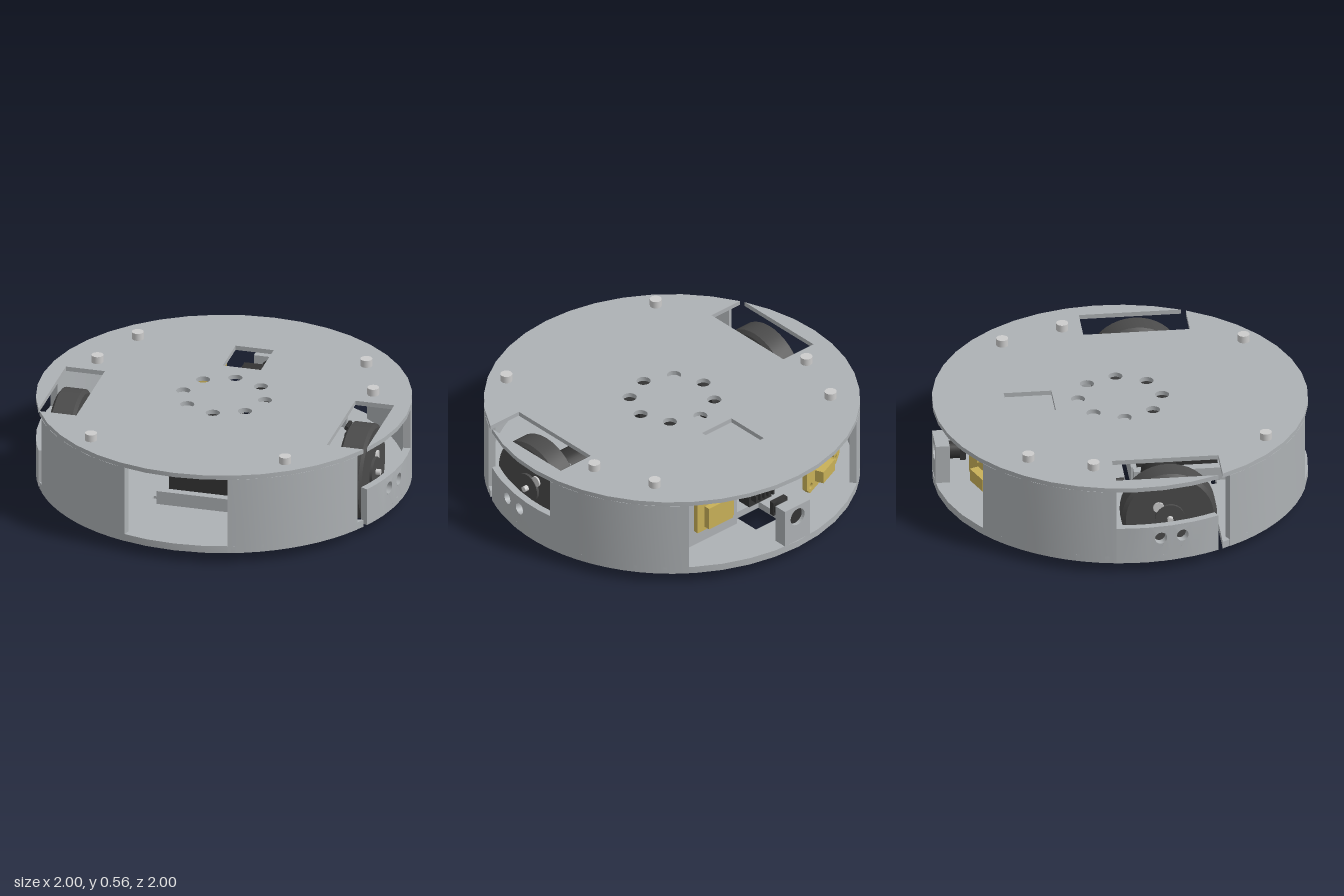
import * as THREE from 'three';
import { mergeGeometries, toCreasedNormals } from 'three/addons/utils/BufferGeometryUtils.js';

const mat = (color) => new THREE.MeshStandardMaterial({ color });
const shell = mat(0xadb1b4), light = mat(0xcccccc), rubber = mat(0x4a4a4a);
const black = mat(0x333333), gold = mat(0xc8b058);

const TOP = 0.515, BASE = 0.06;

export function createModel() {
  const root = new THREE.Group();

  const add = (name, geo, material, x = 0, y = 0, z = 0, parent = root) => {
    const m = new THREE.Mesh(geo, material);
    m.name = name;
    m.position.set(x, y, z);
    parent.add(m);
    return m;
  };
  // box given by its limits on each axis
  const box = (name, material, x0, x1, y0, y1, z0, z1, parent = root) =>
    add(name, new THREE.BoxGeometry(x1 - x0, y1 - y0, z1 - z0), material,
      (x0 + x1) / 2, (y0 + y1) / 2, (z0 + z1) / 2, parent);
  // cylinder along x, y or z
  const rod = (name, material, r, len, axis, x, y, z, parent = root, sides = 24) => {
    const g = new THREE.CylinderGeometry(r, r, len, sides);
    if (axis === 'x') g.rotateZ(Math.PI / 2);
    if (axis === 'z') g.rotateX(Math.PI / 2);
    return add(name, g, material, x, y, z, parent);
  };
  const arc = (r, a0, a1, n) => Array.from({ length: n + 1 }, (_, i) => {
    const a = a0 + (a1 - a0) * i / n;
    return new THREE.Vector2(r * Math.cos(a), r * Math.sin(a));
  });
  // extrude a plan shape (x, z) between two heights
  const slab = (shape, y0, y1) => toCreasedNormals(
    new THREE.ExtrudeGeometry(shape, { depth: y1 - y0, bevelEnabled: false, curveSegments: 10 })
      .rotateX(Math.PI / 2).translate(0, y1, 0), 0.5);
  const circleHole = (x, y, r) => new THREE.Path().absarc(x, y, r, 0, Math.PI * 2, true);
  const rectHole = (x0, x1, y0, y1) => new THREE.Path([[x0, y0], [x0, y1], [x1, y1], [x1, y0]]
    .map(([x, y]) => new THREE.Vector2(x, y)));

  // round plates, notched for the wheels
  const plateShape = () => {
    const a1 = 0.439, a2 = 0.467;
    const notch = [[0.905, -0.12], [0.69, -0.12], [0.69, 0.45]];
    return new THREE.Shape([
      ...notch.map(([x, z]) => new THREE.Vector2(x, z)),
      ...arc(1, a2, Math.PI - a2, 14),
      ...notch.slice().reverse().map(([x, z]) => new THREE.Vector2(-x, z)),
      ...arc(1, Math.PI - a1, Math.PI * 2 + a1, 26),
    ]);
  };
  const topShape = plateShape();
  for (let i = 0; i < 8; i++) {
    const a = i * Math.PI / 4;
    topShape.holes.push(circleHole(0.225 * Math.cos(a), 0.225 * Math.sin(a), 0.038));
  }
  topShape.holes.push(rectHole(-0.105, 0.105, -0.61, -0.355));
  add('topPlate', slab(topShape, 0.49, TOP), shell);

  const baseShape = plateShape();
  baseShape.holes.push(rectHole(-0.26, 0.26, 0.01, 0.04), rectHole(-0.26, 0.26, 0.46, 0.49),
    rectHole(-0.095, 0.095, -0.77, -0.58));
  add('basePlate', slab(baseShape, BASE, 0.1), shell);

  // curved side walls
  const wall = (name, a0, a1) => add(name, slab(new THREE.Shape(
    [...arc(1, a0, a1, 9), ...arc(0.96, a1, a0, 9)]), BASE, 0.49), shell);

  // low guard outside each wheel: flat columns bent round the rim, two with a hole
  const guardGeometry = (side) => {
    const cuts = [-0.13, -0.04, 0.05, 0.17, 0.29, 0.365, 0.44];
    const cols = [];
    for (let i = 0; i < cuts.length - 1; i++) {
      const [a, b] = [cuts[i], cuts[i + 1]];
      const s = new THREE.Shape([[a, BASE], [b, BASE], [b, 0.27], [a, 0.27]]
        .map(([x, y]) => new THREE.Vector2(x, y)));
      if (i === 2 || i === 3) s.holes.push(circleHole((a + b) / 2, 0.2, 0.033));
      const g = new THREE.ExtrudeGeometry(s, { depth: 0.04, bevelEnabled: false });
      const p = g.attributes.position;
      for (let k = 0; k < p.count; k++) {
        // the -x side runs the angle the other way so faces keep their order
        const t = side > 0 ? -p.getX(k) : p.getX(k), r = 0.96 + p.getZ(k);
        const u = side > 0 ? p.getX(k) : t;
        p.setXYZ(k, side * r * Math.cos(u), p.getY(k), r * Math.sin(u));
      }
      if (side > 0) { // restore outward winding
        for (let k = 0; k < p.count; k += 3) {
          const q = [p.getX(k), p.getY(k), p.getZ(k)];
          p.setXYZ(k, p.getX(k + 1), p.getY(k + 1), p.getZ(k + 1));
          p.setXYZ(k + 1, ...q);
        }
      }
      cols.push(g);
    }
    return toCreasedNormals(mergeGeometries(cols), 0.5);
  };

  for (const s of [1, -1]) {
    const side = s > 0 ? 'left' : 'right';
    const span = (a, b) => s > 0 ? [a, b] : [Math.PI - b, Math.PI - a];
    wall(side + 'FrontWall', ...span(0.513, 1.282));
    wall(side + 'RearWall', ...span(-0.927, -0.13));
    add(side + 'WheelGuard', guardGeometry(s), shell);

    // wheel with hub, axle and motor
    const w = new THREE.Group();
    w.name = side + 'Wheel';
    w.position.set(s * 0.8, 0.255, 0.17);
    root.add(w);
    const profile = [[0, -0.07], [0.235, -0.07], [0.255, -0.055], [0.255, 0.055], [0.235, 0.07], [0, 0.07]]
      .map(([r, h]) => new THREE.Vector2(r, h));
    add('tyre', toCreasedNormals(new THREE.LatheGeometry(profile, 40).rotateZ(Math.PI / 2), 0.5), rubber, 0, 0, 0, w);
    rod('hub', rubber, 0.08, 0.17, 'x', 0, 0, 0, w);
    rod('axle', light, 0.016, 0.22, 'x', 0, 0, 0, w, 16);
    rod('hubScrew', light, 0.03, 0.16, 'x', 0, 0.065, -0.06, w, 16);
    rod('motor', black, 0.1, 0.3, 'x', -s * 0.29, 0, 0, w);
    box('motorBracket', shell, s > 0 ? -0.14 : 0.11, s > 0 ? -0.11 : 0.14, -0.155, 0.1, -0.1, 0.1, w);
    for (const y of [0.085, 0.125])
      rod('motorTerminal', black, 0.012, 0.08, 'z', -s * 0.14, y, -0.26, w, 8);

    // pegs on the top plate
    for (const [x, z] of [[0.63, -0.56], [0.76, -0.225], [0.535, 0.72]])
      rod('topPeg', light, 0.032, 0.045, 'y', s * x, 0.5325, z);

    // tray rails beside the battery
    box('batteryTrayRail', shell, s > 0 ? 0.17 : -0.22, s > 0 ? 0.22 : -0.17, 0.1, 0.175, 0.05, 0.55);
  }
  box('batteryTrayFront', shell, -0.17, 0.17, 0.1, 0.175, 0.505, 0.55);
  box('batteryTrayBack', shell, -0.17, 0.17, 0.1, 0.175, 0.04, 0.07);
  box('battery', black, -0.165, 0.165, 0.13, 0.455, 0.07, 0.503);

  // rear camera post with lens
  const post = new THREE.Shape([[-0.09, 0.09], [0.09, 0.09], [0.09, 0.32], [-0.09, 0.32]]
    .map(([x, y]) => new THREE.Vector2(x, y)));
  post.holes.push(circleHole(0, 0.25, 0.05));
  add('cameraPost', new THREE.ExtrudeGeometry(post, { depth: 0.075, bevelEnabled: false }), shell, 0, 0, -0.995);
  rod('cameraLens', black, 0.048, 0.12, 'z', 0, 0.25, -0.915);
  box('cameraBody', black, -0.05, 0.05, 0.21, 0.29, -0.86, -0.83);

  // dark connector block in the middle of the rear bay
  box('connectorBlock', black, -0.08, 0.08, 0.2, 0.38, -0.7, -0.62);
  for (let i = 0; i < 5; i++)
    for (const y of [0.24, 0.32])
      box('connectorPin', black, -0.066 + i * 0.03, -0.054 + i * 0.03, y, y + 0.04, -0.74, -0.7);

  // small board on a backing plate
  box('boardMount', shell, 0.13, 0.5, 0.1, 0.42, -0.66, -0.63);
  box('smallBoard', gold, 0.18, 0.44, 0.19, 0.39, -0.69, -0.66);
  box('smallBoardChip', gold, 0.22, 0.39, 0.21, 0.34, -0.725, -0.69);

  // wide board turned to follow the rim
  const board = new THREE.Group();
  board.name = 'wideBoard';
  board.position.set(-0.4, 0.33, -0.755);
  board.rotation.y = 0.39;
  root.add(board);
  const bs = new THREE.Shape([[-0.2, -0.09], [-0.16, -0.13], [0.16, -0.13], [0.2, -0.09],
    [0.2, 0.09], [0.16, 0.13], [-0.16, 0.13], [-0.2, 0.09]].map(([x, y]) => new THREE.Vector2(x, y)));
  for (const x of [-0.15, 0.15]) for (const y of [-0.09, 0.09]) bs.holes.push(circleHole(x, y, 0.018));
  add('board', new THREE.ExtrudeGeometry(bs, { depth: 0.025, bevelEnabled: false }), gold, 0, 0, 0, board);
  box('socket', gold, -0.04, 0.1, -0.09, -0.02, -0.05, 0, board);
  for (const [x, y] of [[-0.1, 0.05], [0.02, 0.06], [0.1, 0.03], [-0.12, -0.04]])
    box('chip', gold, x - 0.018, x + 0.018, y - 0.015, y + 0.015, -0.015, 0, board);

  return root;
}
